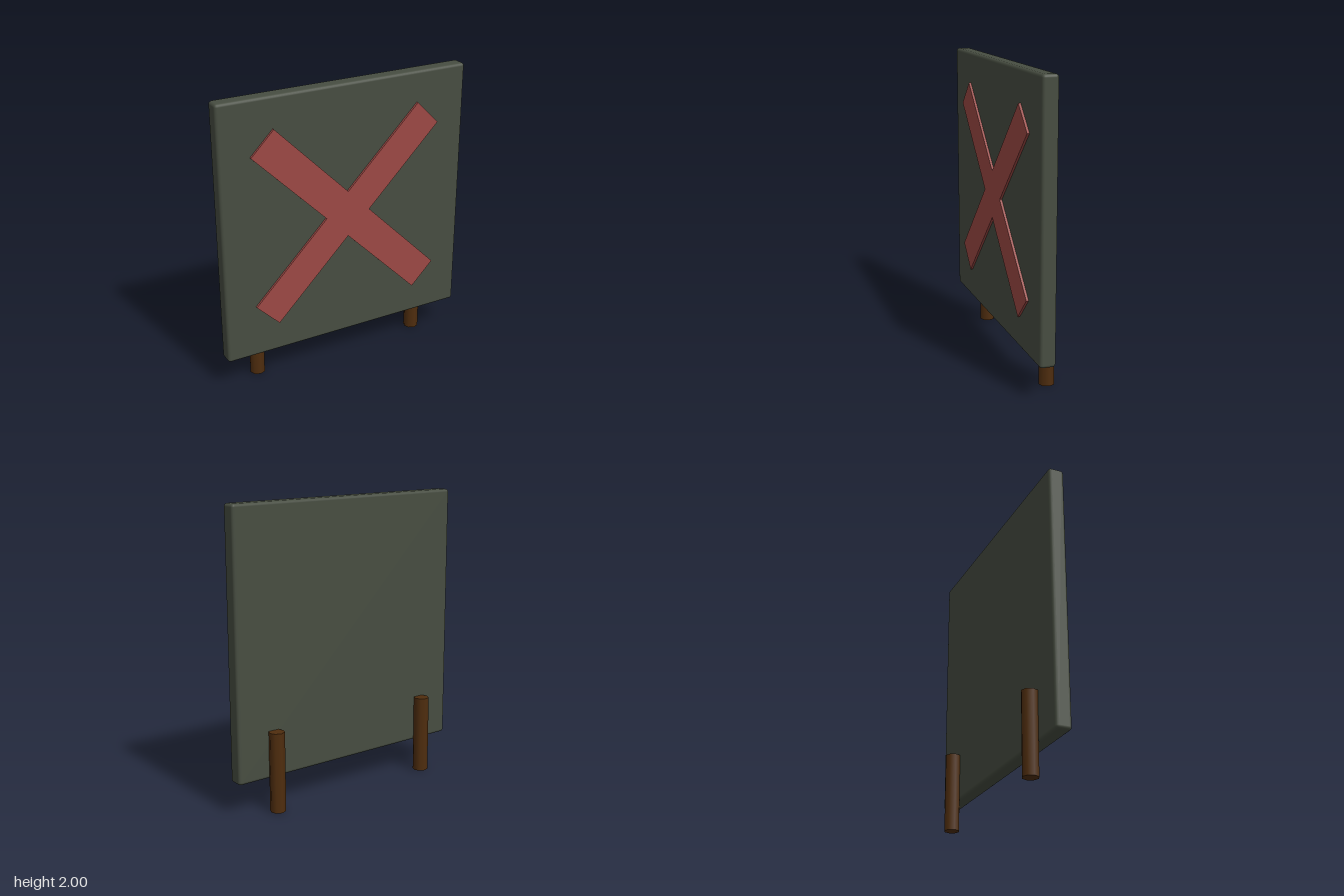
import * as THREE from 'three';
import { RoundedBoxGeometry } from 'three/addons/geometries/RoundedBoxGeometry.js';

function material(name, color) {
  const m = new THREE.MeshStandardMaterial({ color });
  m.name = name;
  return m;
}

export function createModel() {
  const group = new THREE.Group();
  group.name = 'signBoard';
  const boardGreen = material('dark grey green', 0x474d41);
  const crossRed = material('faded red', 0x9c4844);
  const postBrown = material('dark brown', 0x4f2d0e);

  const add = (name, geometry, mat, x, y, z) => {
    const mesh = new THREE.Mesh(geometry, mat);
    mesh.name = name;
    mesh.position.set(x, y, z);
    group.add(mesh);
    return mesh;
  };

  // Square panel with softened edges
  add('panel', new RoundedBoxGeometry(1.78, 1.78, 0.105, 2, 0.02), boardGreen, 0, 1.11, 0.037);

  // Raised cross: a plus outline turned by 45 degrees
  const w = 0.113, h = 0.849;
  const outline = [];
  for (let i = 0; i < 4; i++) {
    for (const [x, y] of [[w, w], [w, h], [-w, h]]) {
      outline.push(new THREE.Vector2(x, y).rotateAround(new THREE.Vector2(), i * Math.PI / 2));
    }
  }
  const cross = new THREE.ExtrudeGeometry(new THREE.Shape(outline), { depth: 0.017, bevelEnabled: false });
  add('cross', cross, crossRed, 0, 1.11, 0.088).rotation.z = Math.PI / 4;

  // Eight-sided posts fixed to the back
  for (const [name, side] of [['leftPost', 1], ['rightPost', -1]]) {
    add(name, new THREE.CylinderGeometry(0.053, 0.053, 0.54, 8), postBrown, side * 0.625, 0.27, -0.053);
  }
  return group;
}
